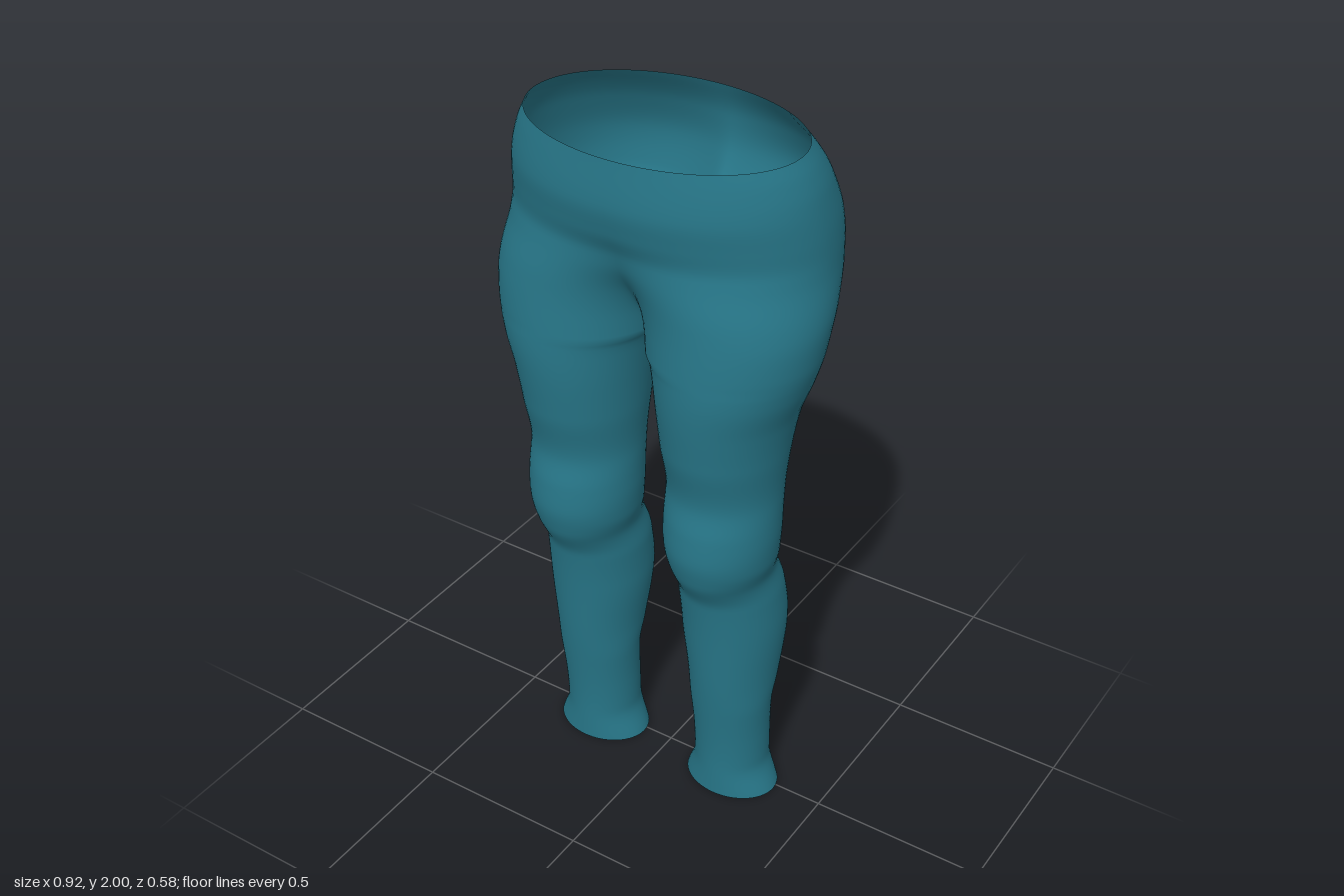
import * as THREE from 'three';
import { mergeVertices } from 'three/addons/utils/BufferGeometryUtils.js';

// Smooth monotone curve through [height, value] pairs
function profile(pts) {
  const n = pts.length;
  const d = pts.slice(1).map((p, i) => (p[1] - pts[i][1]) / (p[0] - pts[i][0]));
  const slope = pts.map((_, i) => {
    if (i === 0) return d[0];
    if (i === n - 1) return d[n - 2];
    return d[i - 1] * d[i] <= 0 ? 0 : (2 * d[i - 1] * d[i]) / (d[i - 1] + d[i]);
  });
  return (y) => {
    if (y <= pts[0][0]) return pts[0][1];
    if (y >= pts[n - 1][0]) return pts[n - 1][1];
    let i = 0;
    while (y > pts[i + 1][0]) i++;
    const w = pts[i + 1][0] - pts[i][0], t = (y - pts[i][0]) / w, t2 = t * t, t3 = t2 * t;
    return (2 * t3 - 3 * t2 + 1) * pts[i][1] + (t3 - 2 * t2 + t) * w * slope[i]
      + (3 * t2 - 2 * t3) * pts[i + 1][1] + (t3 - t2) * w * slope[i + 1];
  };
}

// Outer side, inner side, front and back outlines of one leg and hip
const outer = profile([[0, 0.36], [0.1, 0.328], [0.2, 0.33], [0.4, 0.345], [0.6, 0.36], [0.7, 0.355],
  [0.78, 0.346], [0.86, 0.364], [0.95, 0.37], [1.05, 0.369], [1.2, 0.383], [1.3, 0.4], [1.4, 0.433],
  [1.48, 0.453], [1.57, 0.461], [1.7, 0.446], [1.8, 0.438], [1.9, 0.42], [1.96, 0.398], [2, 0.375]]);
const inner = profile([[0, 0.085], [0.1, 0.115], [0.2, 0.114], [0.4, 0.1], [0.6, 0.078], [0.7, 0.077],
  [0.78, 0.084], [0.86, 0.067], [0.95, 0.061], [1.05, 0.061], [1.2, 0.048], [1.3, 0.038],
  [1.4, 0.022], [1.4375, 0.01], [1.45, 0], [2, 0]]);
const front = profile([[0, 0.125], [0.1, 0.126], [0.4, 0.155], [0.72, 0.19], [0.82, 0.235], [0.9, 0.25],
  [0.97, 0.245], [1.06, 0.229], [1.2, 0.255], [1.4, 0.275], [1.6, 0.262], [1.73, 0.254],
  [1.8, 0.275], [1.88, 0.29], [2, 0.28]]);
const back = profile([[0, -0.092], [0.2, -0.085], [0.31, -0.08], [0.4, -0.11], [0.5, -0.131], [0.6, -0.14],
  [0.7, -0.125], [0.84, -0.08], [1, -0.082], [1.25, -0.117], [1.4, -0.152], [1.54, -0.185],
  [1.6, -0.218], [1.7, -0.275], [1.8, -0.29], [1.9, -0.268], [2, -0.222]]);

// How far the two sides have merged on the centre line: 0 at the crotch, 1 at the waist
const joinFront = profile([[1.45, 0], [1.53, 0.16], [1.6, 0.38], [1.7, 0.74], [1.8, 0.94], [2, 1]]);
const joinBack = profile([[1.45, 0], [1.53, 0.13], [1.6, 0.29], [1.7, 0.49], [1.8, 0.66], [1.9, 0.83], [2, 1]]);

// Depth across a section: a full leg ellipse (m = 0) turning into half a waist oval (m = 1)
function depth(q, m) {
  const e = 0.1 * m, soft = Math.sqrt(q * q + e * e) - e;
  return Math.sqrt(Math.max(0, (1 - m) * 4 * soft * (1 - q) + m * (1 - q * q)));
}

function buildGeometry() {
  const rows = 160, cols = 64, positions = [], index = [];
  for (const side of [1, -1]) {
    const base = positions.length / 3;
    for (let r = 0; r <= rows; r++) {
      const y = r / 80;
      const xi = Math.max(0, inner(y)), mid = (front(y) + back(y)) / 2, half = (front(y) - back(y)) / 2;
      const joins = [joinFront(y), joinBack(y)];
      const peaks = joins.map((m) => {
        let peak = 0;
        for (let k = 0; k <= 50; k++) peak = Math.max(peak, depth(k / 50, m));
        return peak;
      });
      for (let c = 0; c <= cols; c++) {
        // From the inner front, around the outside, to the inner back
        const q = (1 - Math.cos((2 * Math.PI * c) / cols)) / 2;
        const b = c <= cols / 2 ? 0 : 1;
        const z = mid + (b ? -1 : 1) * half * depth(q, joins[b]) / peaks[b];
        positions.push(side * (xi + (outer(y) - xi) * q), y, z);
      }
    }
    for (let r = 0; r < rows; r++) for (let c = 0; c < cols; c++) {
      const a = base + r * (cols + 1) + c, b = a + 1, d = a + cols + 1, e = d + 1;
      if (side > 0) index.push(a, b, d, b, e, d);
      else index.push(a, d, b, b, d, e);
    }
  }
  const g = new THREE.BufferGeometry();
  g.setAttribute('position', new THREE.Float32BufferAttribute(positions, 3));
  g.setIndex(index);
  // Weld the centre seam so shading runs smoothly across it
  const welded = mergeVertices(g, 1e-5);
  welded.computeVertexNormals();
  return welded;
}

export function createModel() {
  const group = new THREE.Group();
  group.name = 'trousers';
  const teal = new THREE.MeshStandardMaterial({ color: 0x277688, side: THREE.DoubleSide });
  teal.name = 'teal cloth';
  const mesh = new THREE.Mesh(buildGeometry(), teal);
  mesh.name = 'legsAndHips';
  group.add(mesh);
  return group;
}
